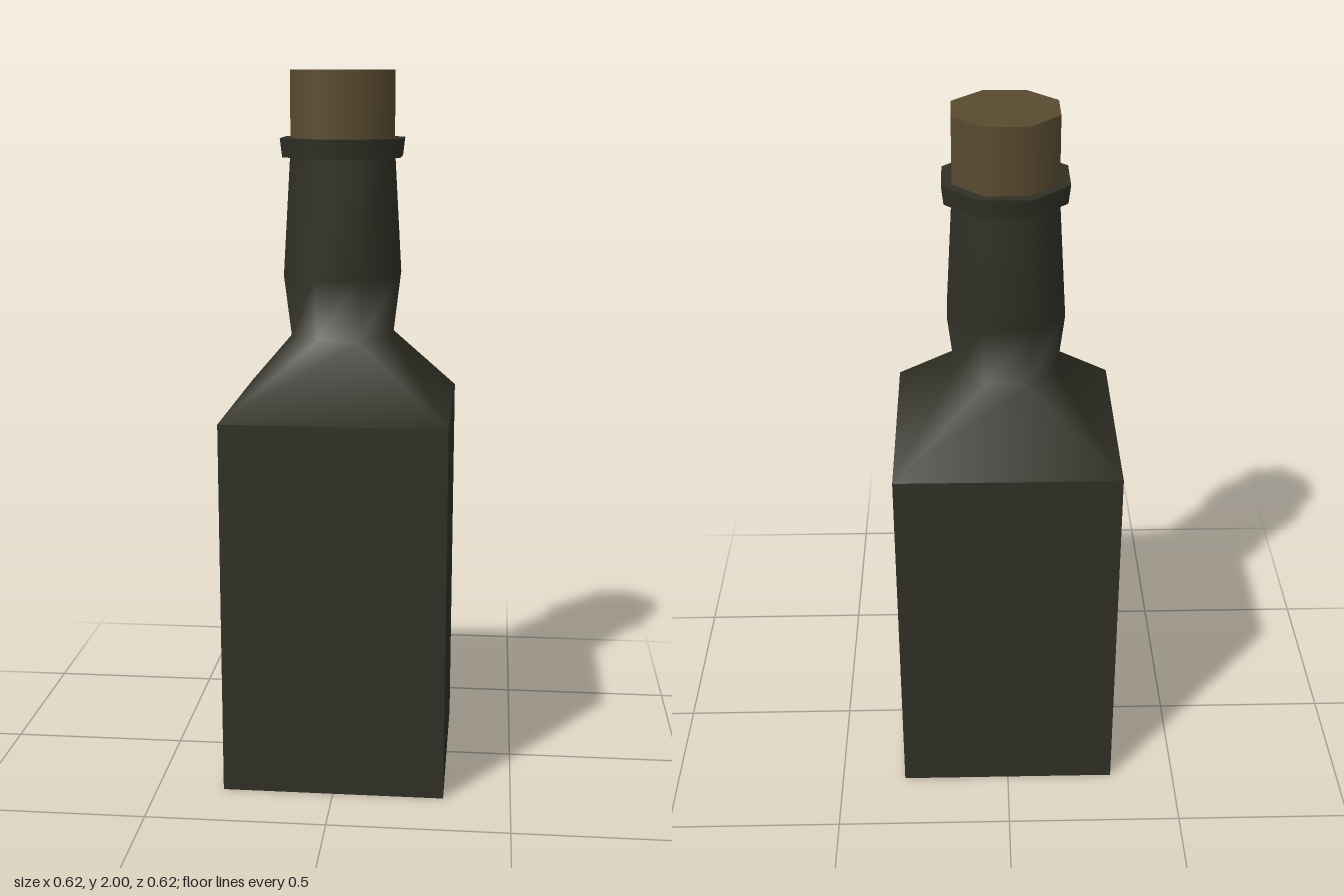
import * as THREE from 'three';
import { mergeVertices } from 'three/addons/utils/BufferGeometryUtils.js';

const SIDES = 8;
const TURN = Math.PI / SIDES; // turns the octagon so flats face the axes

// Octagon ring; radii are measured to the flat sides
function octagonRing(y, apothem) {
  const r = apothem / Math.cos(TURN);
  return Array.from({ length: SIDES }, (_, i) => {
    const a = TURN + (i * 2 * Math.PI) / SIDES;
    return [r * Math.sin(a), y, r * Math.cos(a)];
  });
}

// Square ring with each corner doubled, to join an octagon
function squareRing(y, half) {
  return octagonRing(y, 1).map(([x, , z]) => [Math.sign(x) * half, y, Math.sign(z) * half]);
}

// Smooth skin through rings listed from bottom to top
function loft(rings) {
  const index = [];
  for (let j = 0; j < rings.length - 1; j++) {
    for (let i = 0; i < SIDES; i++) {
      const n = (i + 1) % SIDES;
      const a = j * SIDES + i, b = j * SIDES + n;
      const c = a + SIDES, d = b + SIDES;
      // doubled corners give only the upper triangle
      const same = rings[j][i].every((v, k) => Math.abs(v - rings[j][n][k]) < 1e-6);
      if (!same) index.push(a, b, d);
      index.push(a, d, c);
    }
  }
  let geometry = new THREE.BufferGeometry();
  geometry.setAttribute('position', new THREE.Float32BufferAttribute(rings.flat(2), 3));
  geometry.setIndex(index);
  geometry = mergeVertices(geometry);
  geometry.computeVertexNormals();
  return geometry;
}

// Closed octagonal cylinder between two heights
function octagonCylinder(y0, y1, bottom, top) {
  const k = 1 / Math.cos(TURN);
  return new THREE.CylinderGeometry(top * k, bottom * k, y1 - y0, SIDES, 1, false, TURN)
    .translate(0, (y0 + y1) / 2, 0);
}

export function createModel() {
  const glass = new THREE.MeshStandardMaterial({ name: 'darkGlass', color: 0x303026 });
  const corkBrown = new THREE.MeshStandardMaterial({ name: 'corkBrown', color: 0x5a4b30 });

  const model = new THREE.Group();
  model.name = 'bottle';
  const add = (name, geometry, material) => {
    const mesh = new THREE.Mesh(geometry, material);
    mesh.name = name;
    model.add(mesh);
  };

  // Square body
  add('body', new THREE.BoxGeometry(0.624, 1.065, 0.624).translate(0, 0.5325, 0), glass);

  // Shoulder blending from square to octagon, then the bulging neck
  add('shoulderAndNeck', loft([
    squareRing(1.065, 0.312),
    octagonRing(1.27, 0.14),
    octagonRing(1.44, 0.16),
    octagonRing(1.79, 0.14),
  ]), glass);

  // Lip around the mouth
  add('lip', octagonCylinder(1.765, 1.817, 0.162, 0.168), glass);

  // Stopper
  add('cork', octagonCylinder(1.79, 2, 0.14, 0.14), corkBrown);

  return model;
}
